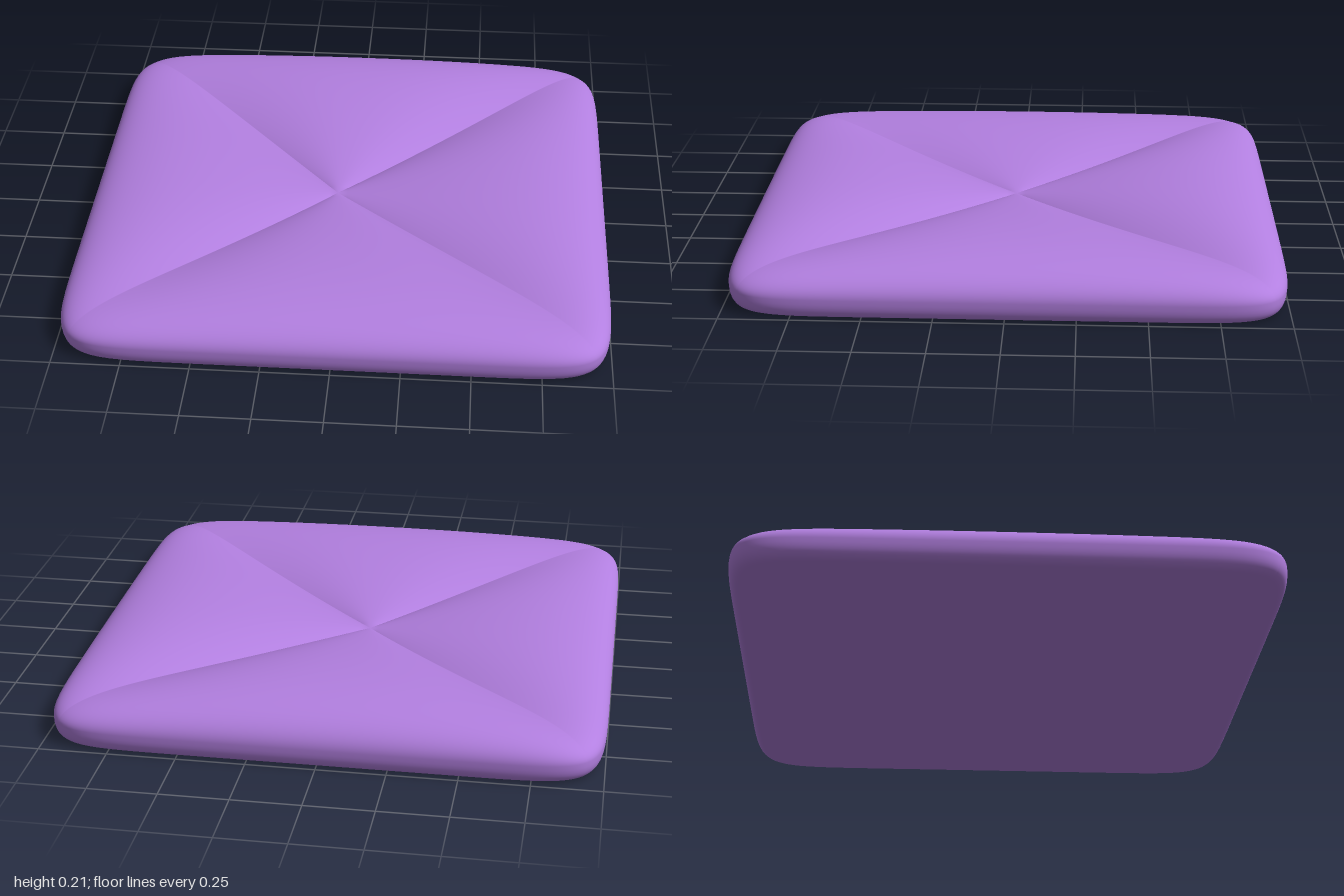
import * as THREE from 'three';

const SEG = 40;            // columns per side
const ROUND = 11;          // squareness of the outline
const MID = 0.08;          // height of the widest line
const FLOOR = 0.005;
const CENTRE = 0.1;        // height of the dip in the middle
const RIDGES = [0.21, 0.205, 0.193, 0.222]; // puff height: +x, +z, -x, -z flaps

// Height of the puffed top before the rim is rounded off
function topHeight(side, a, t) {
  const crease = CENTRE + 0.08 * Math.pow(a, 1.4);
  const rise = Math.sin(Math.PI / 2 * Math.min(a / 0.8, 1));
  const ridge = CENTRE + (RIDGES[side] - CENTRE) * rise;
  return crease + (ridge - crease) * (1 - Math.pow(Math.abs(t), 2.3));
}

// Rings running from the top centre, over the rim, to the bottom centre
function makeRings() {
  const rings = [];
  for (let j = 0; j <= 44; j++) {
    rings.push({ a: Math.sin(Math.PI / 2 * j / 44), top: true });
  }
  for (let j = 1; j <= 10; j++) {
    const p = Math.PI / 2 * j / 10;
    rings.push({
      a: 1 - 0.045 * (1 - Math.pow(Math.cos(p), 0.8)),
      y: MID - (MID - FLOOR) * Math.pow(Math.sin(p), 0.8),
    });
  }
  for (const a of [0.94, 0.85, 0.5, 0]) rings.push({ a, y: FLOOR });
  return rings;
}

function cushionGeometry() {
  const rings = makeRings();
  const cols = SEG * 4;
  const pos = [], index = [];
  for (const ring of rings) {
    for (let i = 0; i < cols; i++) {
      const side = Math.floor(i / SEG);
      const t = Math.sin(Math.PI / 2 * (-1 + 2 * (i % SEG) / SEG));
      const f = ring.a * Math.pow(1 + Math.pow(Math.abs(t), ROUND), -1 / ROUND);
      const c = [1, 0, -1, 0][side], s = [0, 1, 0, -1][side];
      let x = f * (c - s * t), y = ring.y;
      const z = f * (s + c * t);
      if (ring.top) {
        // Seams meet slightly off centre; the rim falls away in a curve
        x -= 0.045 * (1 - ring.a) ** 2;
        const fall = Math.sqrt(Math.max(0, 1 - Math.pow(ring.a, 8)));
        y = MID + (topHeight(side, ring.a, t) - MID) * fall;
      }
      pos.push(x, y, z);
    }
  }
  for (let j = 0; j < rings.length - 1; j++) {
    for (let i = 0; i < cols; i++) {
      const n = (i + 1) % cols;
      const a = j * cols + i, b = j * cols + n;
      const c = a + cols, d = b + cols;
      if (j > 0) index.push(a, b, c);
      if (j < rings.length - 2) index.push(b, d, c);
      else continue;
      if (j === 0) continue;
    }
  }
  const geo = new THREE.BufferGeometry();
  geo.setAttribute('position', new THREE.Float32BufferAttribute(pos, 3));
  geo.setIndex(index);
  geo.computeVertexNormals();
  // The collapsed centre rings take a plain vertical normal
  const normal = geo.attributes.normal;
  const last = (rings.length - 1) * cols;
  for (let i = 0; i < cols; i++) {
    normal.setXYZ(i, 0, 1, 0);
    normal.setXYZ(last + i, 0, -1, 0);
  }
  return geo;
}

export function createModel() {
  const group = new THREE.Group();
  group.name = 'cushion';
  const material = new THREE.MeshStandardMaterial({ color: 0xb27fe0 });
  const body = new THREE.Mesh(cushionGeometry(), material);
  body.name = 'foldedCushionBody';
  group.add(body);
  return group;
}
